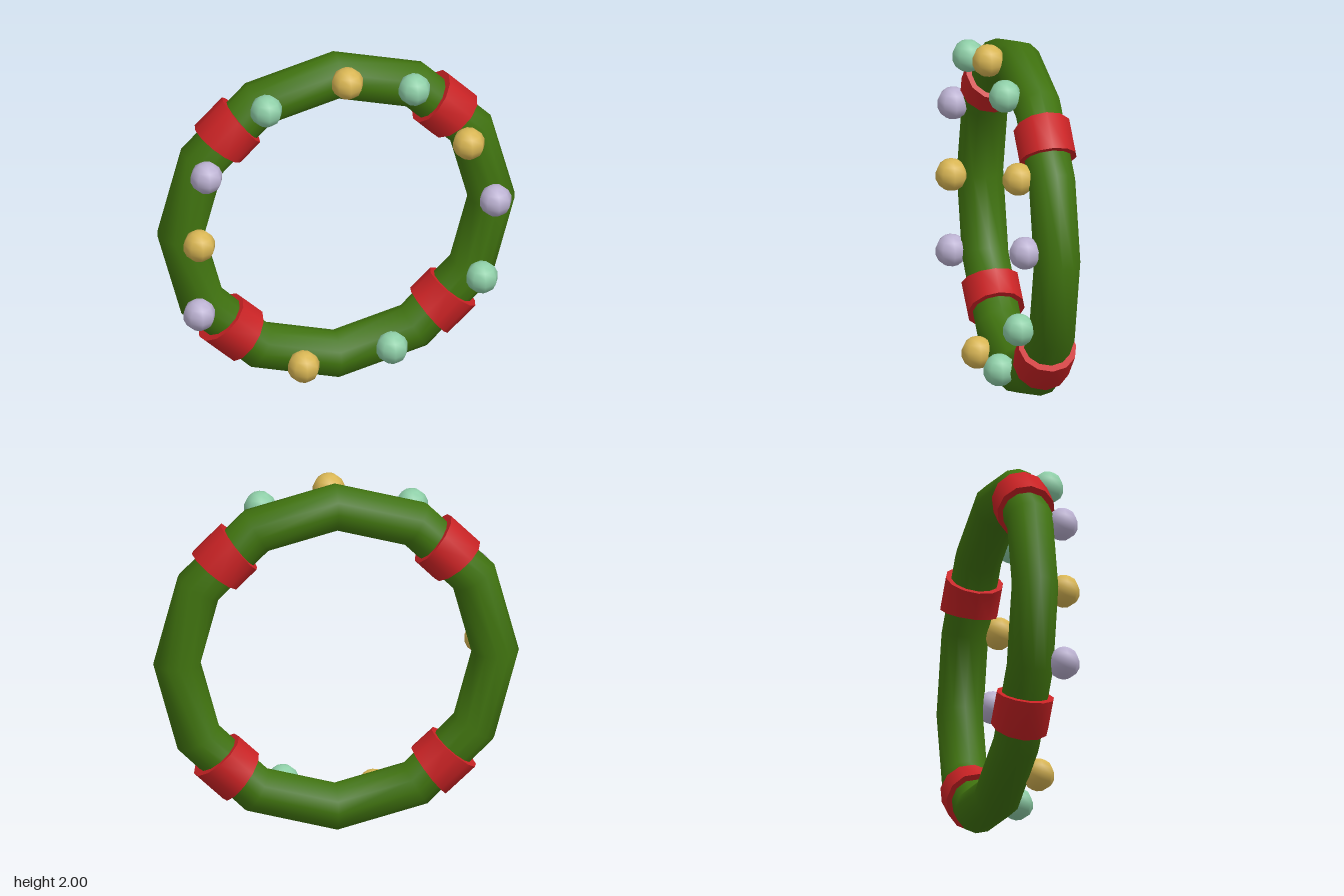
import * as THREE from 'three';

export function createModel() {
  const model = new THREE.Group();
  model.name = 'wreath';

  const mat = (name, color, side = THREE.FrontSide) => {
    const m = new THREE.MeshStandardMaterial({ color, side });
    m.name = name;
    return m;
  };
  const green = mat('leafGreen', 0x40730f);
  const red = mat('ribbonRed', 0xc92224, THREE.DoubleSide);
  const gold = mat('gold', 0xd9b654);
  const mint = mat('mint', 0x8fcfa8);
  const lavender = mat('lavender', 0xbcb2d2);

  const add = (parent, name, geometry, material, x = 0, y = 0, z = 0) => {
    const mesh = new THREE.Mesh(geometry, material);
    mesh.name = name;
    mesh.position.set(x, y, z);
    parent.add(mesh);
    return mesh;
  };

  // Twelve-sided ring
  const ringZ = -0.06;
  add(model, 'ring', new THREE.TorusGeometry(0.87, 0.13, 12, 12), green, 0, 1, ringZ);

  // Wedge-shaped ribbon bands, closed at both ends
  const bandRadius = 0.85, tube = 0.16, arc = 0.22;
  const sleeve = new THREE.TorusGeometry(bandRadius, tube, 12, 1, arc);
  const cap = new THREE.CircleGeometry(tube, 12);
  [45, 135, 227, 314].forEach((degrees) => {
    const band = new THREE.Group();
    band.name = 'ribbonBand';
    band.position.set(0, 1, ringZ);
    band.rotation.z = THREE.MathUtils.degToRad(degrees) - arc / 2;
    add(band, 'bandSleeve', sleeve, red);
    add(band, 'bandStartCap', cap, red, bandRadius).rotation.x = Math.PI / 2;
    const end = add(band, 'bandEndCap', cap, red,
      bandRadius * Math.cos(arc), bandRadius * Math.sin(arc));
    end.rotation.set(-Math.PI / 2, arc, 0, 'ZXY');
    end.rotation.set(-Math.PI / 2, 0, arc, 'ZXY');
    model.add(band);
  });

  // Baubles along the front
  const ball = new THREE.SphereGeometry(0.09, 8, 7);
  [
    [gold, 0.02, 1.91], [mint, 0.395, 1.82], [mint, -0.435, 1.8],
    [gold, 0.7, 1.44], [lavender, -0.77, 1.43], [lavender, 0.85, 1.065],
    [gold, -0.81, 1.01], [lavender, -0.81, 0.58], [mint, 0.77, 0.605, 0.13],
    [gold, -0.225, 0.175], [mint, 0.27, 0.225],
  ].forEach(([material, x, y, z = 0.115]) => add(model, 'bauble', ball, material, x, y, z));

  return model;
}
